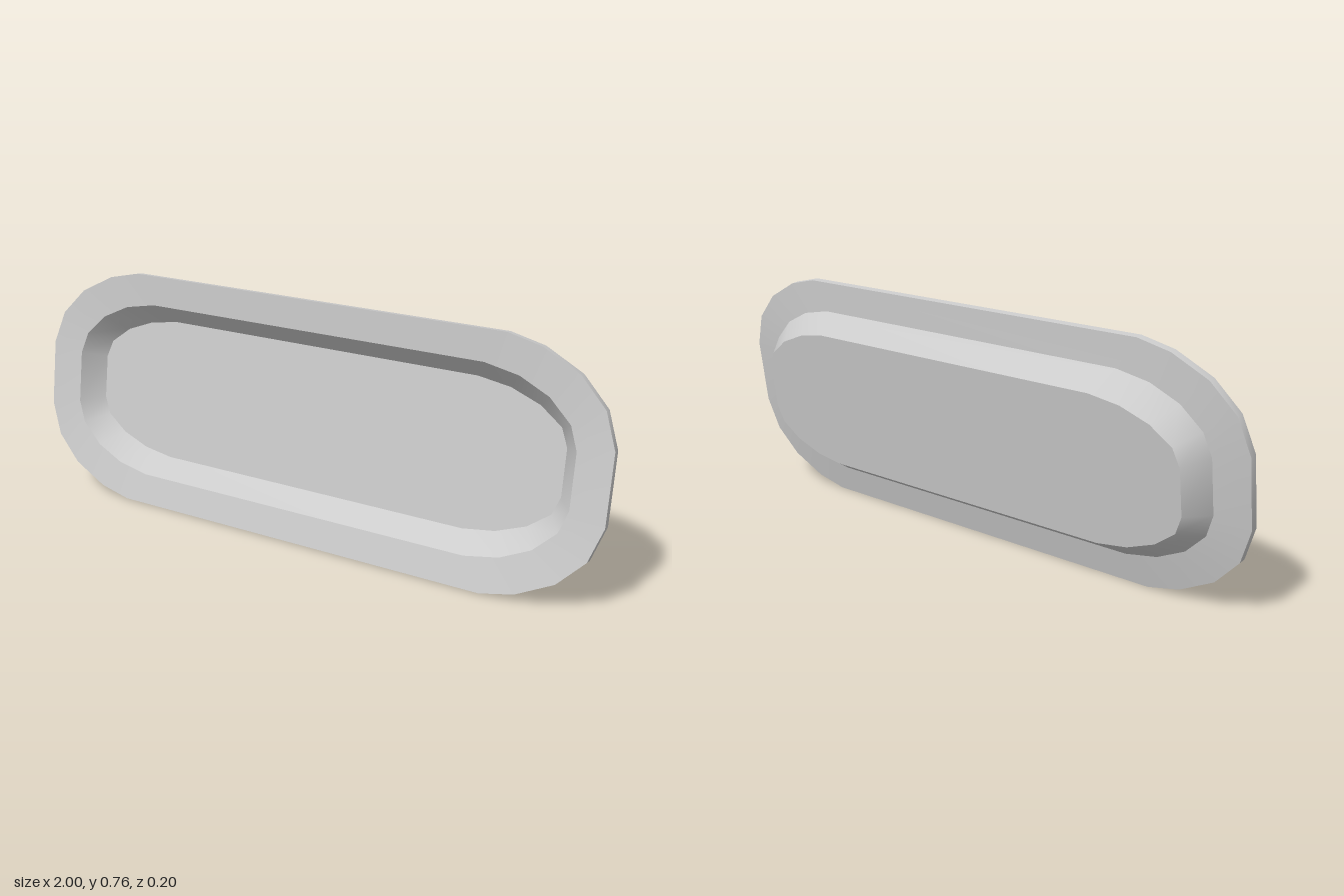
import * as THREE from 'three';
import { toCreasedNormals } from 'three/addons/utils/BufferGeometryUtils.js';

// Quarter outlines (x, y), from the end round to the long side
const RIM = [[1, 0.108], [0.962, 0.215], [0.88, 0.3], [0.763, 0.36], [0.655, 0.3845]];
const BEND = [[0.89, 0.085], [0.865, 0.155], [0.795, 0.222], [0.7, 0.267], [0.59, 0.288]];
const FLOOR = [[0.837, 0.072], [0.815, 0.128], [0.745, 0.18], [0.65, 0.216], [0.545, 0.232]];
const THICKNESS = 0.024;

// Mirror a quarter into a full counter-clockwise ring at depth z
function ring(quarter, z) {
  const back = [...quarter].reverse();
  return [
    ...quarter,
    ...back.map(([x, y]) => [-x, y]),
    ...quarter.map(([x, y]) => [-x, -y]),
    ...back.map(([x, y]) => [x, -y]),
  ].map(([x, y]) => [x, y, z]);
}

// Join consecutive rings with quads; the first and last rings are capped
function skinRings(rings) {
  const n = rings[0].length;
  const positions = rings.flat(2);
  const index = [];
  for (let r = 0; r < rings.length - 1; r++) {
    for (let k = 0; k < n; k++) {
      const a = r * n + k, b = r * n + (k + 1) % n;
      index.push(a, a + n, b + n, a, b + n, b);
    }
  }
  const frontCentre = rings.length * n, backCentre = frontCentre + 1;
  const last = (rings.length - 1) * n;
  positions.push(0, 0, rings[0][0][2], 0, 0, rings[rings.length - 1][0][2]);
  for (let k = 0; k < n; k++) {
    const next = (k + 1) % n;
    index.push(frontCentre, k, next, backCentre, last + next, last + k);
  }
  const geometry = new THREE.BufferGeometry();
  geometry.setAttribute('position', new THREE.Float32BufferAttribute(positions, 3));
  geometry.setIndex(index);
  return toCreasedNormals(geometry, 0.7);
}

export function createModel() {
  const group = new THREE.Group();
  group.name = 'tray';

  // Front skin from floor out to rim, then the back skin returning to the floor
  const layers = [[FLOOR, -0.086], [BEND, -0.012], [RIM, 0]];
  const front = layers.map(([outline, z]) => ring(outline, z + THICKNESS));
  const back = layers.map(([outline, z]) => ring(outline, z)).reverse();

  const dish = new THREE.Mesh(
    skinRings([...front, ...back]),
    new THREE.MeshStandardMaterial({ color: 0xcccccc })
  );
  dish.name = 'shallowDish';

  // Lean the dish backwards on its lower edge
  dish.rotation.x = -0.141;
  dish.position.set(0, 0.381, 0.021);
  group.add(dish);
  return group;
}
